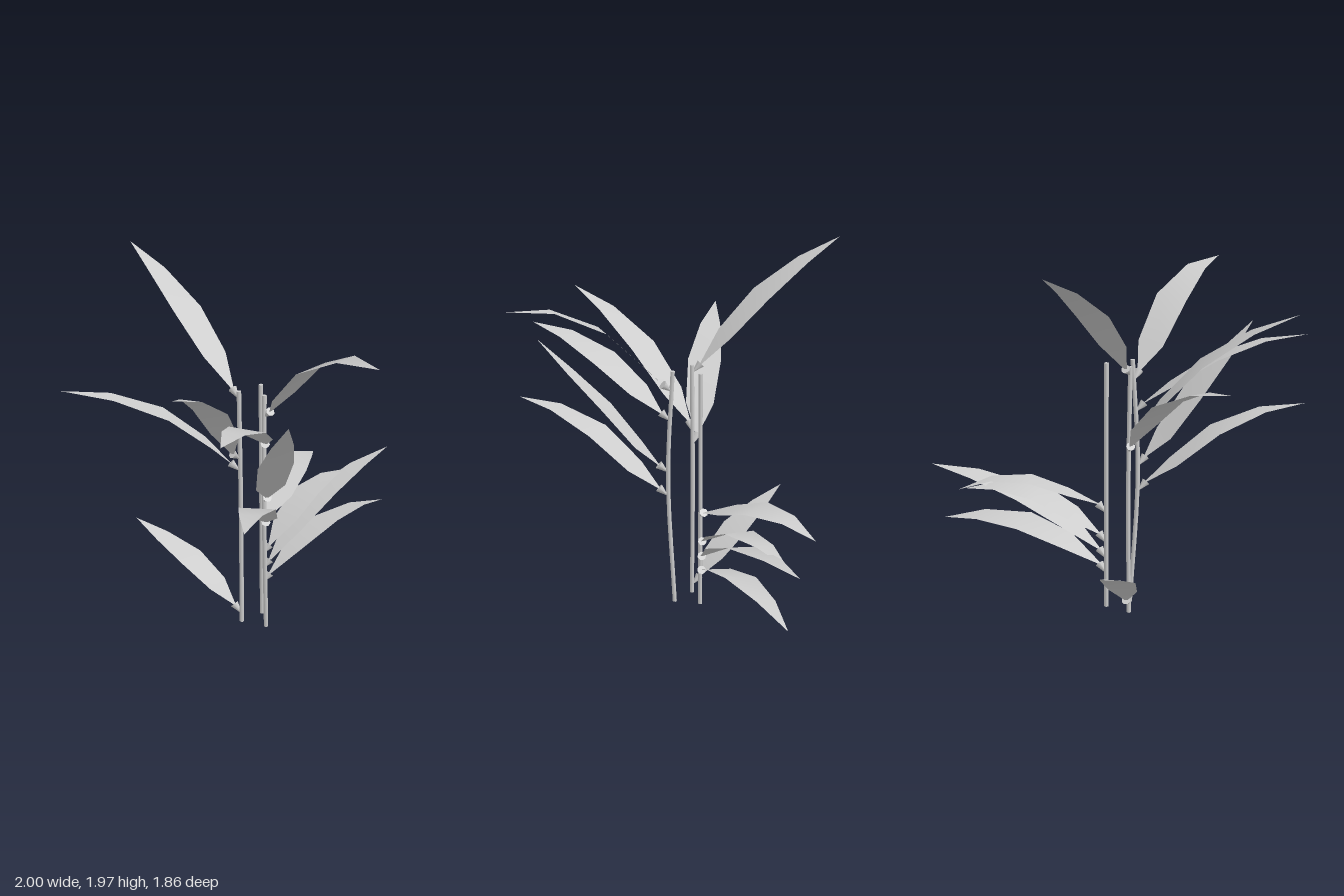
import * as THREE from 'three';

const V = (x, y, z) => new THREE.Vector3(x, y, z);

// Canes: the way their leaf sockets lean, and curve points from ground to cut top
const CANES = {
  back: { lean: V(0, 0, -0.5), pts: [V(-0.195, 0, -0.075), V(-0.19, 0.7, -0.078), V(-0.197, 1.36, -0.075)] },
  front: { lean: V(0, 0, 0.6), pts: [V(-0.125, 0, 0.05), V(-0.155, 0.75, 0.075), V(-0.132, 1.36, 0.053)] },
  side: { lean: V(0.6, 0, 0.4), pts: [V(-0.053, 0, -0.075), V(-0.053, 0.7, -0.075), V(-0.053, 1.36, -0.075)] },
};

// Leaves: cane, tip x, tip z, roll, row spacing power, then centreline heights from base to tip
const LEAVES = [
  ['back', -0.257, -0.93, 0.08, 1, [1.36, 1.51, 1.705, 1.865, 1.97]],
  ['back', -0.445, -0.70, 0, 1, [0.09, 0.19, 0.31, 0.40, 0.47]],
  ['back', -0.998, -0.49, 0, 1.12, [0.95, 1.08, 1.26, 1.38, 1.435]],
  ['back', -0.925, 0.37, 0, 1.1, [1.02, 1.17, 1.385, 1.545, 1.635]],
  ['front', -0.85, 0.63, -0.08, 1, [1.12, 1.22, 1.355, 1.445, 1.47]],
  ['front', -0.80, 0.735, 0, 1, [0.68, 0.78, 0.945, 1.04, 1.06]],
  ['front', -0.50, 0.69, 0.13, 1, [0.82, 0.93, 1.13, 1.32, 1.49]],
  ['front', -0.155, 0.925, 0.1, 1.12, [1.29, 1.41, 1.62, 1.745, 1.765]],
  ['side', 0.638, -0.458, 0.05, 0.87, [0.58, 0.645, 0.715, 0.715, 0.65]],
  ['side', 0.74, -0.265, -0.16, 0.95, [0.41, 0.505, 0.605, 0.62, 0.58]],
  ['side', 1.005, -0.22, -0.18, 0.97, [0.32, 0.45, 0.575, 0.64, 0.66]],
  ['side', 0.948, -0.19, -0.2, 0.88, [0.235, 0.335, 0.405, 0.40, 0.345]],
];
const REACH = [0, 0.17, 0.43, 0.73, 1];
const HALF_WIDTH = [0.008, 0.076, 0.092, 0.056, 0];

// Flat blade: rows of left and right points swept along a bent centreline
function leafGeometry(base, tip, roll, power, heights) {
  const side = V(tip.z - base.z, 0, base.x - tip.x).normalize().setY(roll).normalize();
  const positions = [];
  const index = [];
  const last = heights.length - 1;
  heights.forEach((y, i) => {
    const c = base.clone().lerp(tip, REACH[i] ** power).setY(y);
    // the last row is a single tip point
    for (const s of i < last ? [1, -1] : [0]) {
      positions.push(...c.clone().addScaledVector(side, s * HALF_WIDTH[i]).toArray());
    }
    if (i === 0) return;
    const a = 2 * i - 2;
    index.push(a, a + 1, a + 2);
    if (i < last) index.push(a + 1, a + 3, a + 2);
  });
  const g = new THREE.BufferGeometry();
  g.setAttribute('position', new THREE.Float32BufferAttribute(positions, 3));
  g.setIndex(index);
  g.computeVertexNormals();
  return g;
}

export function createModel() {
  const model = new THREE.Group();
  const grey = new THREE.MeshStandardMaterial({ color: 0xcccccc, side: THREE.DoubleSide });
  grey.name = 'light grey';

  const add = (geometry, name) => {
    const mesh = new THREE.Mesh(geometry, grey);
    mesh.name = name;
    model.add(mesh);
    return mesh;
  };

  // Canes with flat end caps
  const curves = {};
  for (const [key, { pts }] of Object.entries(CANES)) {
    const curve = curves[key] = new THREE.CatmullRomCurve3(pts);
    add(new THREE.TubeGeometry(curve, 8, 0.012, 8), key + 'Cane');
    for (const [p, turn] of [[pts[0], 1], [pts[2], -1]]) {
      const cap = add(new THREE.CircleGeometry(0.012, 8).rotateX(turn * Math.PI / 2), key + 'CaneEnd');
      cap.position.copy(p);
    }
  }

  // Each leaf sits in a small cone that widens away from its cane
  for (const [key, x, z, roll, power, heights] of LEAVES) {
    const node = curves[key].getPoint((heights[0] - 0.04) / 1.36);
    const tip = V(x, heights[4], z);
    const out = V(x - node.x, 0, z - node.z).normalize().add(CANES[key].lean).normalize();
    const base = node.clone().addScaledVector(out, 0.05).setY(heights[0]);
    const start = node.clone().addScaledVector(out, 0.005).setY(heights[0] - 0.04);
    const axis = base.clone().sub(start);

    const socket = add(new THREE.CylinderGeometry(0.024, 0.003, axis.length(), 8), 'leafSocket');
    socket.position.copy(start).addScaledVector(axis, 0.5);
    socket.quaternion.setFromUnitVectors(V(0, 1, 0), axis.normalize());

    add(leafGeometry(base, tip, roll, power, heights), 'leaf');
  }
  return model;
}
